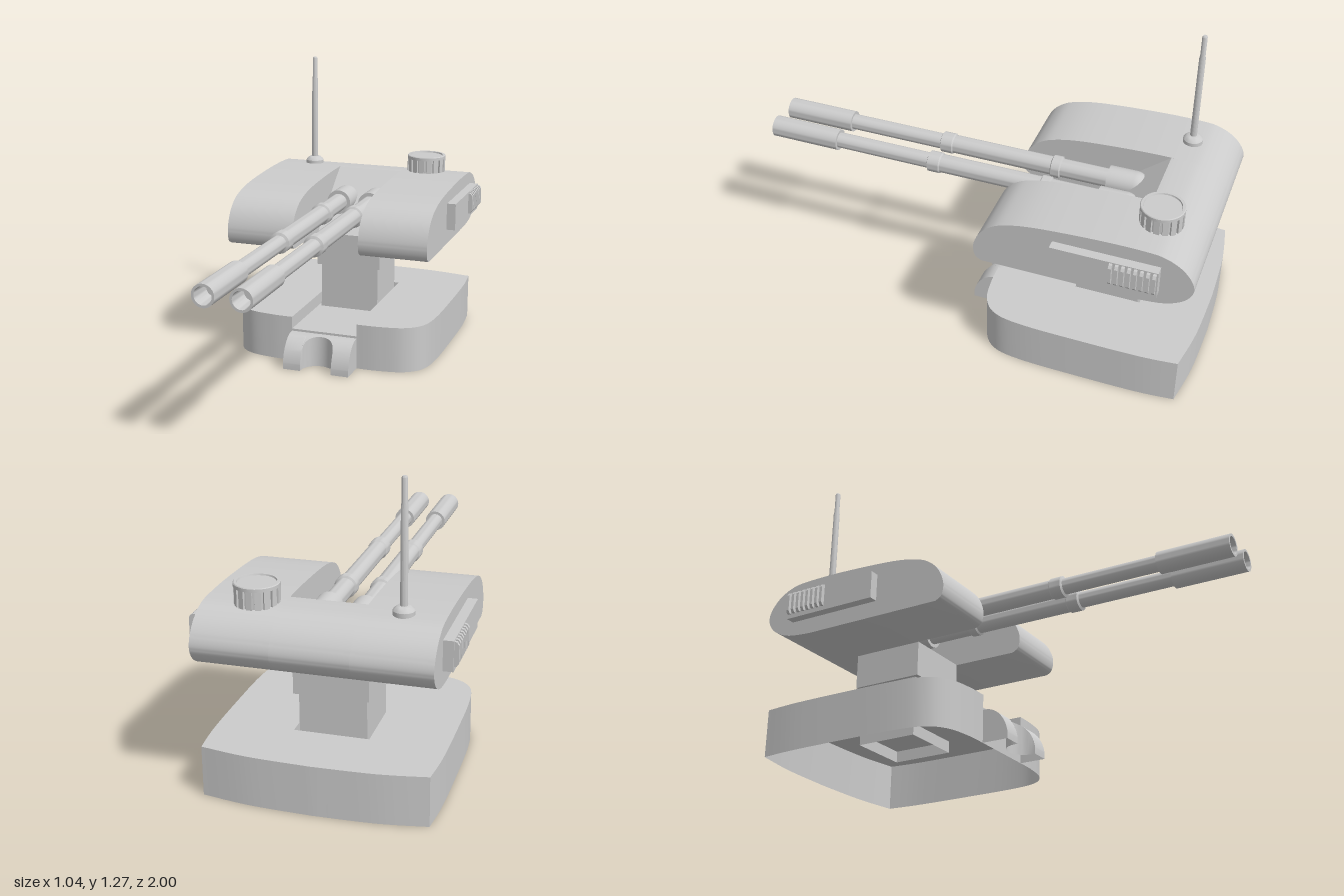
import * as THREE from 'three';
import { toCreasedNormals } from 'three/addons/utils/BufferGeometryUtils.js';

const mat = new THREE.MeshStandardMaterial({ color: 0xcccccc });
const shellMat = new THREE.MeshStandardMaterial({ color: 0xcccccc, side: THREE.DoubleSide });
const v2 = (pts) => pts.map(([x, y]) => new THREE.Vector2(x, y));

export function createModel() {
  const model = new THREE.Group();

  function add(name, geo, x = 0, y = 0, z = 0, material = mat, parent = model) {
    const mesh = new THREE.Mesh(geo, material);
    mesh.name = name;
    mesh.position.set(x, y, z);
    parent.add(mesh);
    return mesh;
  }
  // Box given by its limits on each axis
  function box(name, x0, x1, y0, y1, z0, z1, parent = model) {
    return add(name, new THREE.BoxGeometry(x1 - x0, y1 - y0, z1 - z0),
      (x0 + x1) / 2, (y0 + y1) / 2, (z0 + z1) / 2, mat, parent);
  }
  // Surface through equally long rows of points
  function loft(rows, crease = 0.6) {
    const n = rows[0].length, index = [];
    for (let i = 0; i < rows.length - 1; i++) {
      for (let j = 0; j < n - 1; j++) {
        const a = i * n + j, b = a + n;
        index.push(a, b, a + 1, b, b + 1, a + 1);
      }
    }
    const geo = new THREE.BufferGeometry();
    geo.setAttribute('position', new THREE.Float32BufferAttribute(rows.flat(2), 3));
    geo.setIndex(index);
    return toCreasedNormals(geo, crease);
  }
  // Side profile of (z, y) points, extruded from x0 to x1
  function sideExtrude(pts, x0, x1) {
    const geo = new THREE.ExtrudeGeometry(new THREE.Shape(pts), { depth: x1 - x0, bevelEnabled: false });
    geo.rotateY(-Math.PI / 2).translate(x1, 0, 0);
    return toCreasedNormals(geo, 0.6);
  }
  function lathe(profile, segments = 32) {
    return toCreasedNormals(new THREE.LatheGeometry(v2(profile), segments), 0.6);
  }

  // Hollow base: bowed outline, open underneath, with a channel at the front
  const H = 0.205, FLOOR = 0.15, CW = 0.152, CB = -0.73;
  const flank = new THREE.SplineCurve(v2([[CW, -0.08], [0.25, -0.083], [0.36, -0.105], [0.43, -0.17],
    [0.455, -0.3], [0.46, -0.55], [0.458, -0.8], [0.445, -0.955]])).getPoints(42);
  const rear = new THREE.SplineCurve(v2([[0.445, -0.955], [0.25, -0.985], [0, -0.995]])).getPoints(12);
  const half = [...flank, ...rear.slice(1)];
  const outline = [...half, ...half.slice(0, -1).reverse().map((p) => new THREE.Vector2(-p.x, p.y))];
  const ring = (y) => outline.map((p) => [p.x, y, p.y]);
  add('baseWall', loft([ring(0), ring(H)], 0.4), 0, 0, 0, shellMat);
  const topShape = new THREE.Shape([...outline, ...v2([[-CW, CB], [CW, CB]])]);
  add('baseTop', new THREE.ShapeGeometry(topShape).rotateX(Math.PI / 2), 0, H, 0, shellMat);
  const channel = [[-CW, H], [-CW, FLOOR], [CW, FLOOR], [CW, H]];
  add('baseChannel', loft([-0.08, CB].map((z) => channel.map(([x, y]) => [x, y, z]))), 0, 0, 0, shellMat);
  add('channelBack', new THREE.PlaneGeometry(2 * CW, H - FLOOR), 0, (H + FLOOR) / 2, CB, shellMat);
  add('channelFront', new THREE.PlaneGeometry(2 * CW, FLOOR), 0, FLOOR / 2, -0.08, shellMat);

  // Rounded front step with a vertical half-round notch
  const notchR = 0.072, stepFront = 0.035;
  const height = (z) => 0.14 * Math.sqrt(Math.max(0, 1 - (Math.max(0, z + 0.07) / 0.107) ** 2));
  const column = (x, zf, scale = 1) => {
    const col = [];
    for (let i = 0; i <= 14; i++) {
      const z = THREE.MathUtils.lerp(-0.08, zf, Math.sin((i / 14) * Math.PI / 2));
      col.push([x, height(z) * scale, z]);
    }
    col.push([x, 0, zf]);
    return col;
  };
  const columns = [column(-CW, stepFront, 0), column(-CW, stepFront), column(-notchR, stepFront)];
  for (let i = 0; i <= 20; i++) {
    const a = (i / 20) * Math.PI;
    columns.push(column(-notchR * Math.cos(a), 0.022 - notchR * Math.sin(a)));
  }
  columns.push(column(notchR, stepFront), column(CW, stepFront), column(CW, stepFront, 0));
  add('frontStep', loft(columns), 0, 0, 0, shellMat);

  // Neck: open-ended lower column and wider upper collar
  const neckRing = (y) => [[-1, -0.43], [1, -0.43], [1, -0.705], [-1, -0.705], [-1, -0.43]]
    .map(([s, z]) => [s * 0.137, y, z]);
  add('lowerNeck', loft([neckRing(0.1), neckRing(0.37)]), 0, 0, 0, shellMat);
  box('upperNeck', -CW, CW, 0.36, 0.512, -0.73, -0.41);

  // Head: two lobes joined behind a sloped slot
  const profile = new THREE.SplineCurve(v2([[-0.12, 0.511], [-0.093, 0.53], [-0.085, 0.58], [-0.105, 0.638],
    [-0.145, 0.685], [-0.21, 0.719], [-0.34, 0.744], [-0.6, 0.759], [-0.8, 0.758], [-0.875, 0.744],
    [-0.935, 0.71], [-0.975, 0.66], [-0.983, 0.61], [-0.95, 0.56], [-0.88, 0.525], [-0.78, 0.512],
    [-0.68, 0.511]])).getPoints(96);
  add('leftHeadLobe', sideExtrude(profile, CW, 0.46));
  add('rightHeadLobe', sideExtrude(profile, -0.46, -CW));
  const rearPoints = profile.filter((p) => p.x < -0.735);
  add('headCentre', sideExtrude([...v2([[-0.42, 0.511], [-0.73, 0.759]]), ...rearPoints], -CW, CW));

  // Twin barrels with round breeches, collars and hollow muzzles
  const barrel = [];
  for (let i = 0; i <= 8; i++) {
    const a = (i / 8) * Math.PI / 2;
    barrel.push([0.056 * Math.sin(a), -0.604 - 0.056 * Math.cos(a)]);
  }
  barrel.push([0.056, -0.49], [0.04, -0.49], [0.04, -0.285], [0.048, -0.28], [0.048, -0.245], [0.04, -0.24],
    [0.04, 0.205], [0.045, 0.21], [0.045, 0.26], [0.034, 0.265], [0.034, 0.69], [0.046, 0.69],
    [0.046, 1], [0.036, 1], [0.032, 0.9], [0, 0.9]);
  for (const s of [1, -1]) {
    add(s > 0 ? 'leftBarrel' : 'rightBarrel', lathe(barrel).rotateX(Math.PI / 2), s * 0.075, 0.644, 0);
  }

  // Side panels with vent ribs
  for (const s of [1, -1]) {
    const panel = new THREE.Group();
    panel.name = s > 0 ? 'leftPanel' : 'rightPanel';
    model.add(panel);
    const span = (a, b) => (s > 0 ? [a, b] : [-b, -a]);
    box('panelPlate', ...span(0.455, 0.5), 0.58, 0.7, -0.85, -0.415, panel);
    const rib = v2([[0.495, 0.598], [0.51, 0.6], [0.518, 0.612], [0.518, 0.682], [0.51, 0.694], [0.495, 0.697]]);
    for (let i = 0; i < 8; i++) {
      const geo = new THREE.ExtrudeGeometry(new THREE.Shape(rib), { depth: 0.013, bevelEnabled: false });
      if (s < 0) geo.rotateY(Math.PI).translate(0, 0, 0.013);
      add('ventRib', geo, 0, 0, -0.844 + i * 0.0248, mat, panel);
    }
  }

  // Ribbed knob on the left lobe
  const knob = new THREE.Group();
  knob.name = 'knob';
  knob.position.set(0.26, 0.75, -0.795);
  model.add(knob);
  add('knobCore', lathe([[0.08, 0], [0.08, 0.07], [0.089, 0.07], [0.089, 0.083], [0.086, 0.086],
    [0.076, 0.086], [0.074, 0.08], [0, 0.08]], 48), 0, 0, 0, mat, knob);
  for (let i = 0; i < 16; i++) {
    const a = (i / 16) * Math.PI * 2;
    const rib = add('knobRib', new THREE.BoxGeometry(0.023, 0.072, 0.012),
      0.082 * Math.sin(a), 0.036, 0.082 * Math.cos(a), mat, knob);
    rib.rotation.y = a;
  }

  // Antenna on the right lobe
  add('antenna', lathe([[0.042, 0.75], [0.042, 0.774], [0.036, 0.782], [0.026, 0.79], [0.0145, 0.792],
    [0.0135, 1.17], [0.011, 1.18], [0.011, 1.27], [0.008, 1.275], [0, 1.275]], 20), -0.3, 0, -0.785);

  return model;
}
